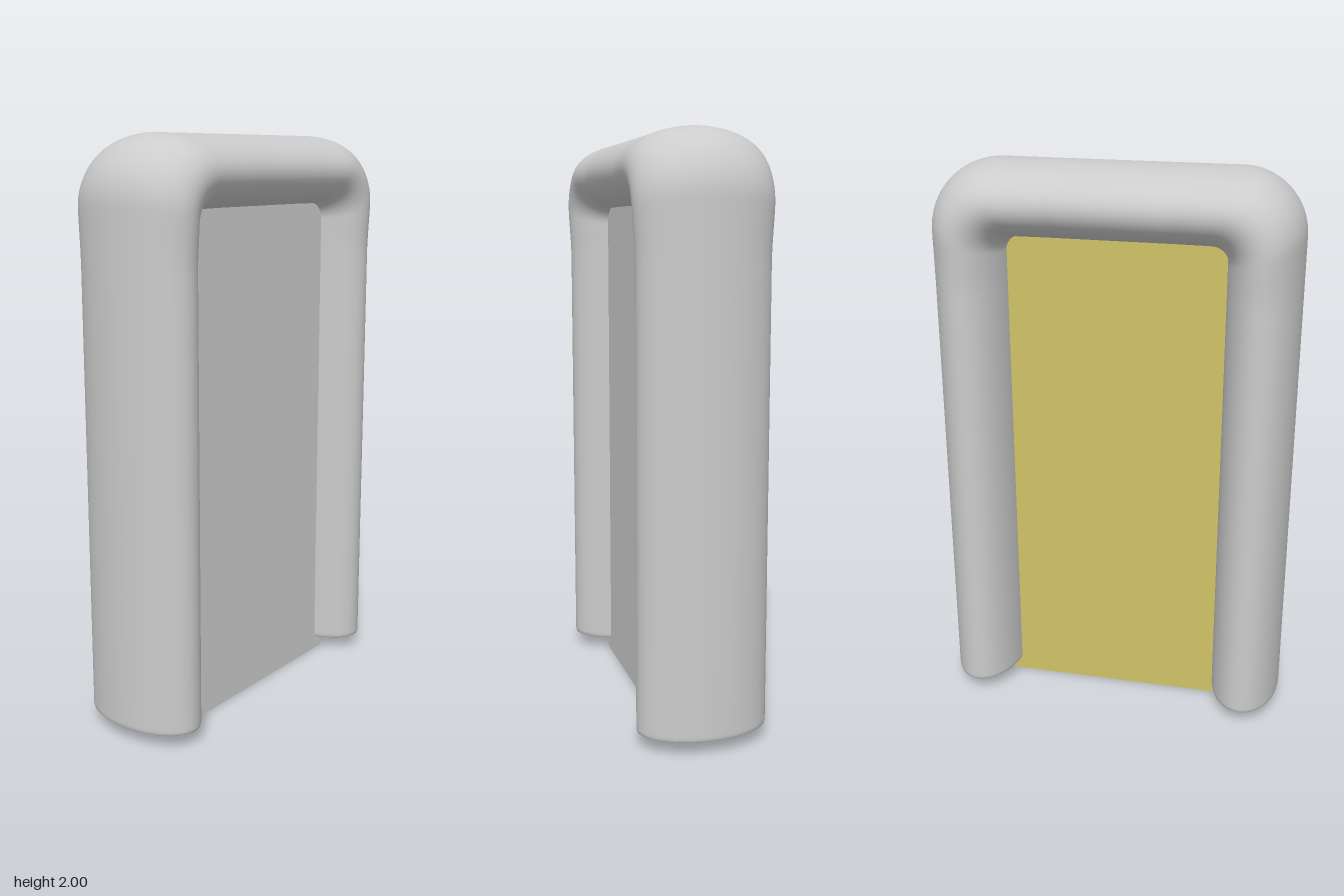
import * as THREE from 'three';

const SEG = 56;                       // points around the oval section
const HALF_X = 0.22, HALF_U = 0.126;  // half sizes of the oval section
const MID_Z = 0.5025, MID_Y = 1.872;  // centre lines of the legs and the top bar

// One closed ring; place(u, t) gives [z, y] for outward offset u, t = 0 inner to 1 outer
function ring(place, swell = 0, scale = 1) {
  const pts = [];
  for (let j = 0; j < SEG; j++) {
    const a = (j / SEG) * Math.PI * 2;
    const u = HALF_U * scale * Math.cos(a);
    const [z, y] = place(u, (u / HALF_U + 1) / 2);
    pts.push([HALF_X * scale * (1 + swell) * Math.sin(a), y, z]);
  }
  return pts;
}

// Half of the arch: from the foot of the front leg to the middle of the top bar
function halfArch() {
  const rings = [];
  const foot = (y, s) => rings.push(ring((u) => [MID_Z + u, y], 0, s));
  foot(0.05, 0);
  foot(0.05, 0.97);
  foot(0.05, 0.97);
  foot(0.053, 0.99);
  foot(0.062, 1);
  foot(0.07, 1);
  foot(0.8, 1);

  const radius = (t) => 0.05 + 0.17 * t;   // tight inside, wide outside
  const ease = (k) => 0.045 * k * k * (3 - 2 * k);
  const N = 8, M = 16;
  // straight run into the corner, swelling slightly
  for (let i = 0; i < N; i++) {
    const k = i / N;
    rings.push(ring((u, t) => {
      const end = MID_Y + u - radius(t);
      return [MID_Z + u, 1.57 + (end - 1.57) * k];
    }, ease(k * 0.75)));
  }
  // rounded corner
  for (let i = 0; i <= M; i++) {
    const b = (i / M) * Math.PI / 2;
    rings.push(ring((u, t) => {
      const r = radius(t);
      return [MID_Z + u - r + r * Math.cos(b), MID_Y + u - r + r * Math.sin(b)];
    }, ease(0.75 + 0.25 * Math.sin(2 * b))));
  }
  // straight run out of the corner
  for (let i = N - 1; i >= 0; i--) {
    const k = i / N;
    rings.push(ring((u, t) => {
      const end = MID_Z + u - radius(t);
      return [0.2 + (end - 0.2) * k, MID_Y + u];
    }, ease(k * 0.75)));
  }
  return rings;
}

function archGeometry() {
  const half = halfArch();
  const mirrored = half.map((r) => r.map(([x, y, z]) => [x, y, -z])).reverse();
  const rings = [...half, ...mirrored];
  const index = [];
  for (let i = 0; i < rings.length - 1; i++) {
    for (let j = 0; j < SEG; j++) {
      const a = i * SEG + j, b = i * SEG + (j + 1) % SEG;
      index.push(a, b, b + SEG, a, b + SEG, a + SEG);
    }
  }
  const geo = new THREE.BufferGeometry();
  geo.setAttribute('position', new THREE.Float32BufferAttribute(rings.flat(2), 3));
  geo.setIndex(index);
  geo.computeVertexNormals();
  return geo;
}

export function createModel() {
  const model = new THREE.Group();
  model.name = 'archWithPanels';
  const grey = new THREE.MeshStandardMaterial({ color: 0xcccccc });
  const yellow = new THREE.MeshStandardMaterial({ color: 0xd0c368 });

  const add = (name, geo, mat) => {
    const mesh = new THREE.Mesh(geo, mat);
    mesh.name = name;
    model.add(mesh);
    return mesh;
  };

  // Rounded surround
  add('archFrame', archGeometry(), grey);

  // Two flat panels set into the opening
  const panel = (name, x0, x1, mat) =>
    add(name, new THREE.BoxGeometry(x1 - x0, 1.82, 0.87), mat).position.set((x0 + x1) / 2, 0.91, 0);
  panel('greyPanel', 0.03, 0.10, grey);
  panel('yellowPanel', -0.037, -0.01, yellow);

  return model;
}
